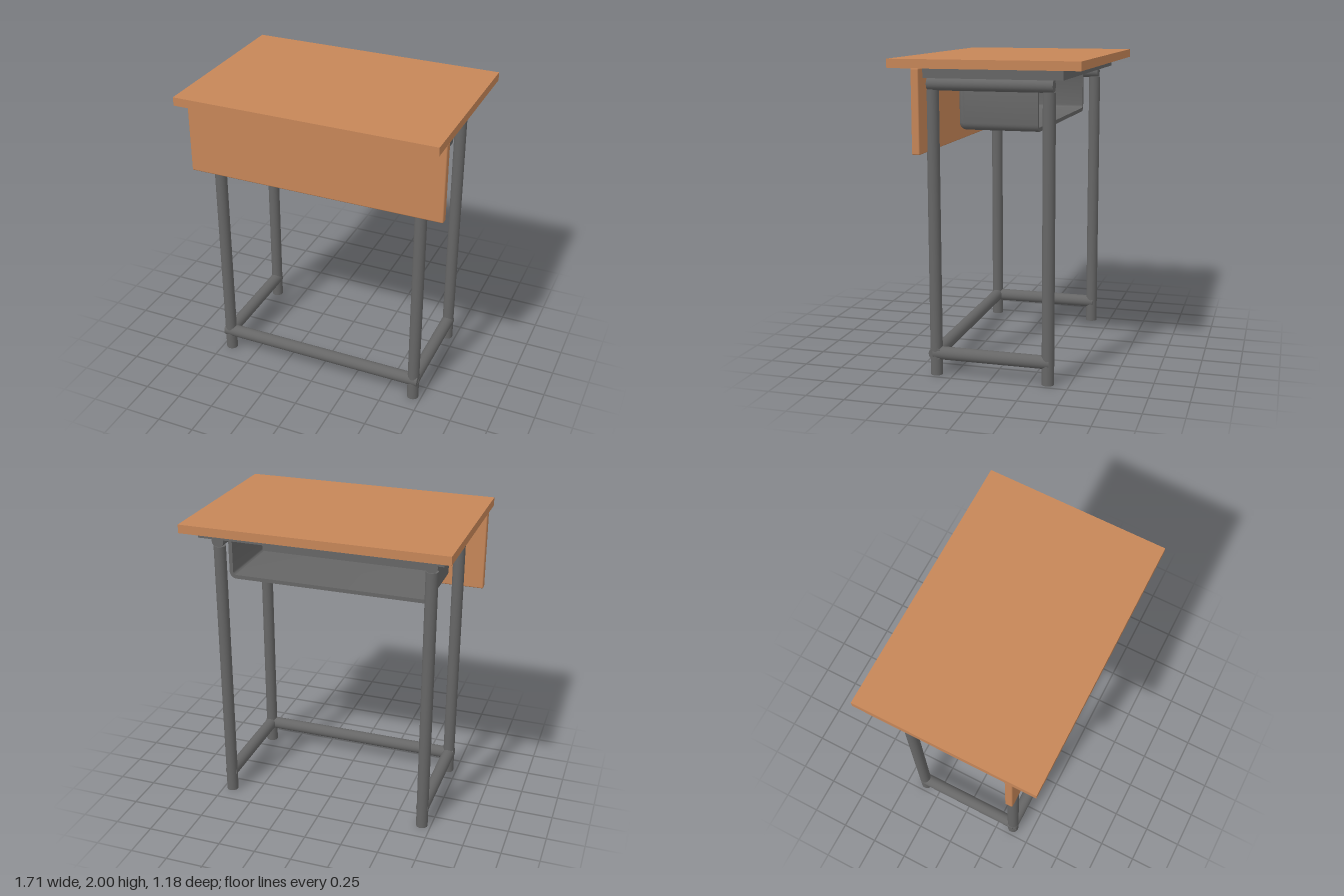
import * as THREE from 'three';
import { toCreasedNormals } from 'three/addons/utils/BufferGeometryUtils.js';
import { RoundedBoxGeometry } from 'three/addons/geometries/RoundedBoxGeometry.js';

// Box-shaped tray, open at the back, lofted from rounded rectangular rings
function trayGeometry() {
  const halfW = 0.667, halfH = 0.16, midY = 1.725, back = -0.29, front = 0.21, wall = 0.025, r = 0.045;
  const ring = (inset, z, scale = 1) => {
    const w = halfW - inset, h = halfH - inset, points = [];
    const corners = [[1, 1, 0], [-1, 1, 1], [-1, -1, 2], [1, -1, 3]];
    for (const [sx, sy, quarter] of corners) {
      const rad = sy > 0 ? 0.004 : Math.max(r - inset, 0.004);
      for (let k = 0; k <= 6; k++) {
        const a = (quarter + k / 6) * Math.PI / 2;
        points.push([
          scale * (sx * (w - rad) + rad * Math.cos(a)),
          midY + scale * (sy * (h - rad) + rad * Math.sin(a)), z]);
      }
    }
    return points;
  };
  // Inner end wall, inner sides, rim, outer sides, rounded front, front face
  const rings = [ring(wall, front - wall, 0), ring(wall, front - wall), ring(wall, back), ring(0, back)];
  for (let k = 0; k <= 6; k++) {
    const a = k / 6 * Math.PI / 2;
    rings.push(ring(r * (1 - Math.cos(a)), front - r + r * Math.sin(a)));
  }
  rings.push(ring(r, front, 0));
  const n = rings[0].length, index = [];
  for (let i = 0; i < rings.length - 1; i++) {
    for (let j = 0; j < n; j++) {
      const a = i * n + j, b = i * n + (j + 1) % n;
      if (i > 0) index.push(a, b, b + n);
      else index.push(a, b + n, a + n);
      if (i > 0 && i < rings.length - 2) index.push(a, b + n, a + n);
    }
  }
  const geometry = new THREE.BufferGeometry();
  geometry.setAttribute('position', new THREE.Float32BufferAttribute(rings.flat(2), 3));
  geometry.setIndex(index);
  return toCreasedNormals(geometry, 0.6);
}

export function createModel() {
  const group = new THREE.Group();
  const wood = new THREE.MeshStandardMaterial({ name: 'wood', color: 0xc68658 });
  const steel = new THREE.MeshStandardMaterial({ name: 'grey steel', color: 0x666666 });

  const add = (name, geometry, material, x, y, z) => {
    const mesh = new THREE.Mesh(geometry, material);
    mesh.name = name;
    mesh.position.set(x, y, z);
    group.add(mesh);
    return mesh;
  };
  const tube = (radius, length) => new THREE.CylinderGeometry(radius, radius, length, 32);

  // Wooden parts
  add('tabletop', new THREE.BoxGeometry(1.71, 0.055, 1.18), wood, 0, 1.9725, 0);
  add('frontPanel', new RoundedBoxGeometry(1.71, 0.517, 0.05, 2, 0.008), wood, 0, 1.6875, 0.415);

  // Support slab and storage tray beneath the top
  add('supportSlab', new THREE.BoxGeometry(1.57, 0.06, 0.86), steel, 0, 1.915, -0.04);
  add('storageTray', trayGeometry(), steel, 0, 0, 0);

  // Legs with upper and lower side rails
  for (const side of [-1, 1]) {
    const x = side * 0.69;
    add('frontLeg', tube(0.039, 1.81), steel, x, 0.905, 0.362);
    add('backLeg', tube(0.039, 1.81), steel, x, 0.905, -0.366);
    add('upperRail', tube(0.04, 0.785), steel, x, 1.845, -0.0025).rotation.x = Math.PI / 2;
    add('lowerSideRail', tube(0.042, 0.755), steel, x, 0.142, -0.002).rotation.x = Math.PI / 2;
  }

  // Front foot rail
  add('footRail', tube(0.042, 1.45), steel, 0, 0.142, 0.362).rotation.z = Math.PI / 2;

  return group;
}
